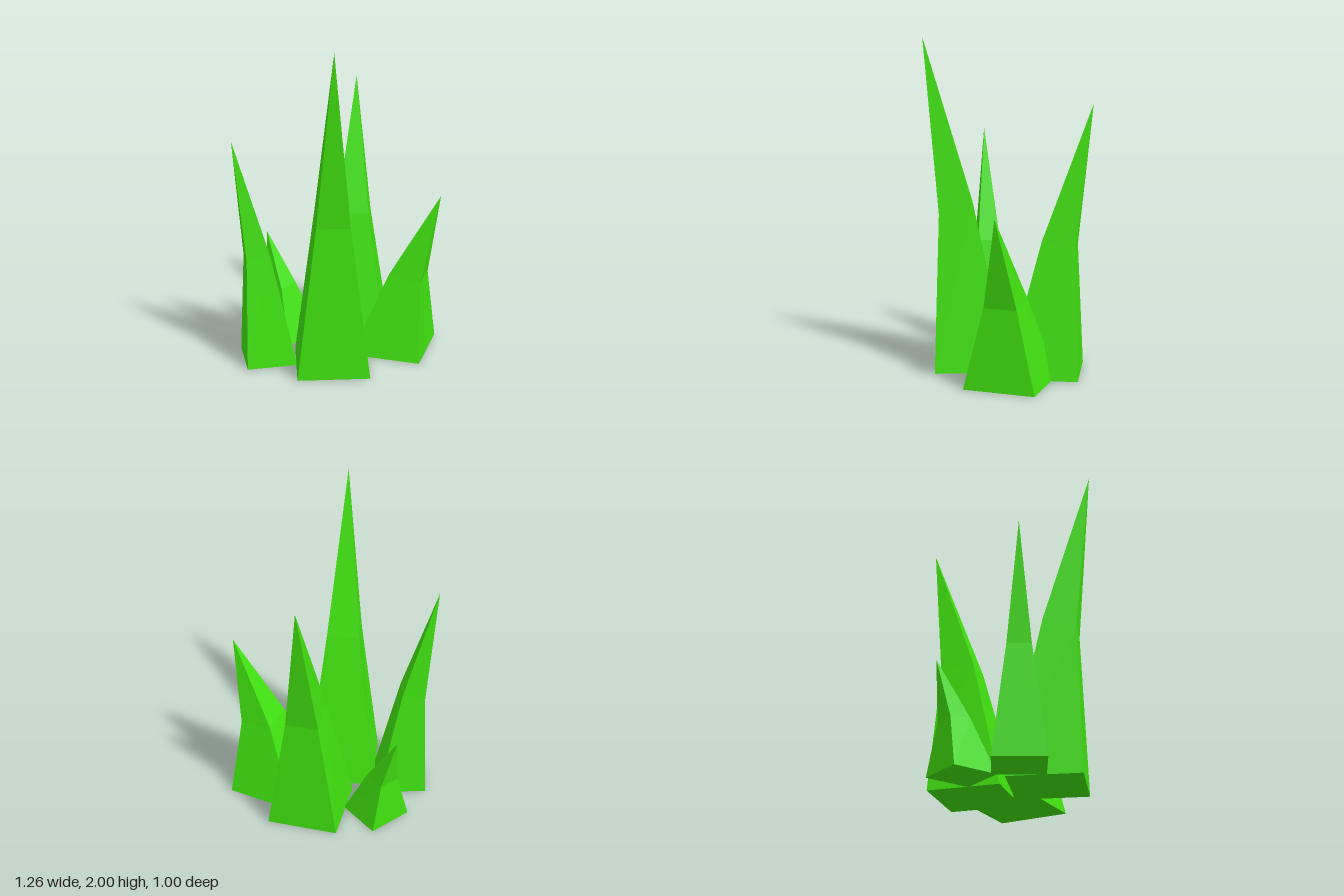
import * as THREE from 'three';

// One blade: square foot, narrower slanted waist, and a tip that leans toward +z
function bladeGeometry() {
  const geo = new THREE.ConeGeometry(Math.SQRT2, 2, 4, 2, false, Math.PI / 4);
  geo.translate(0, 1, 0);
  const pos = geo.attributes.position;
  for (let i = 0; i < pos.count; i++) {
    const sx = Math.sign(Math.round(pos.getX(i) * 100));
    const sz = Math.sign(Math.round(pos.getZ(i) * 100));
    const y = pos.getY(i);
    if (y < 0.5) pos.setXYZ(i, sx * 0.217, 0, sz * 0.217);
    else if (y < 1.5) pos.setXYZ(i, sx * 0.1, 0.975 - sz * 0.025, 0.088 + sz * 0.1);
    else pos.setXYZ(i, 0, 2, 0.28);
  }
  geo.computeVertexNormals();
  return geo;
}

// Foot centre, lean direction, width scale and height of every blade
const blades = [
  { name: 'frontBlade', x: -0.055, z: 0.218, dx: 0, dz: 1, width: 1, height: 2 },
  { name: 'backBlade', x: 0.102, z: -0.228, dx: 0.149, dz: -0.989, width: 1, height: 1.62 },
  { name: 'leftBlade', x: 0.345, z: -0.015, dx: 0.939, dz: 0.344, width: 1, height: 1.02 },
  { name: 'rightBlade', x: -0.438, z: 0.103, dx: -0.99, dz: 0.14, width: 0.7, height: 1.4 },
  { name: 'smallBackBlade', x: -0.308, z: -0.235, dx: -0.69, dz: -0.72, width: 0.65, height: 0.65 },
];

export function createModel() {
  const group = new THREE.Group();
  group.name = 'grassTuft';
  const geometry = bladeGeometry();
  const material = new THREE.MeshStandardMaterial({ color: 0x40e010, flatShading: true });
  for (const b of blades) {
    const mesh = new THREE.Mesh(geometry, material);
    mesh.name = b.name;
    mesh.position.set(b.x, 0, b.z);
    mesh.rotation.y = Math.atan2(b.dx, b.dz);
    mesh.scale.set(b.width, b.height / 2, b.width);
    group.add(mesh);
  }
  return group;
}
